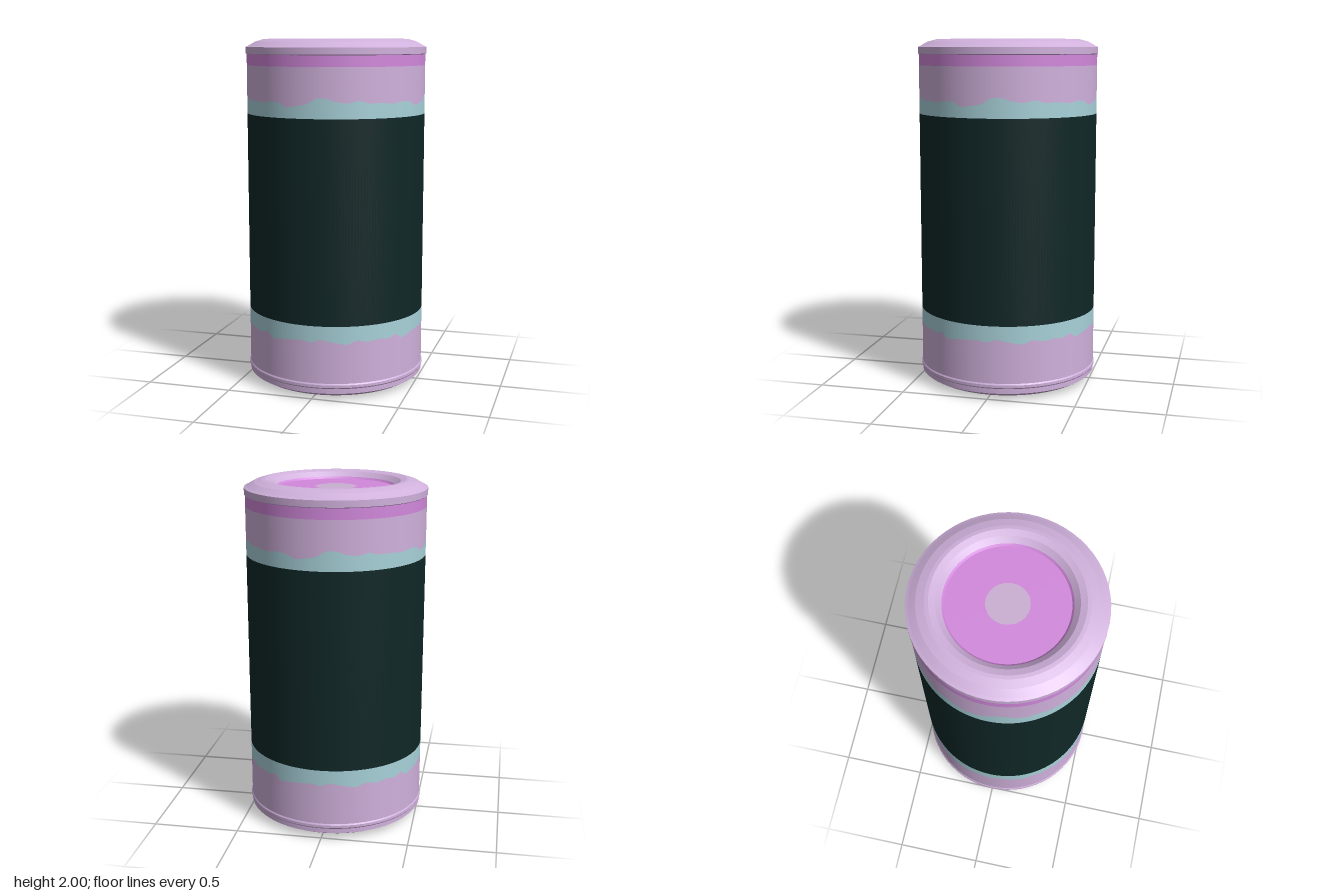
import * as THREE from 'three';
import { toCreasedNormals } from 'three/addons/utils/BufferGeometryUtils.js';

const SEGMENTS = 64;
const R = 0.515;

const material = (name, color) => new THREE.MeshStandardMaterial({ name, color });

// Wavy edge heights as [degrees, y]; the pattern repeats every quarter turn
const UPPER_WAVE = [[-45, 1.66], [-36, 1.655], [-28, 1.665], [-21, 1.66], [-15.6, 1.635], [-8, 1.645], [-2, 1.655],
  [4.5, 1.69], [11, 1.685], [15, 1.67], [23, 1.66], [30, 1.675], [36, 1.66], [45, 1.66]];
const LOWER_WAVE = [[-45, 0.345], [-40, 0.335], [-33, 0.355], [-28, 0.32], [-23, 0.33], [-13, 0.34], [-6, 0.345],
  [0, 0.335], [6, 0.355], [11, 0.345], [17, 0.335], [23, 0.325], [29, 0.35], [36, 0.335], [45, 0.345]];

function waveAt(keys, degrees) {
  const a = ((degrees + 45) % 90 + 90) % 90 - 45;
  const i = Math.max(1, keys.findIndex(k => k[0] >= a));
  const [a0, y0] = keys[i - 1], [a1, y1] = keys[i];
  return y0 + (y1 - y0) * (a - a0) / (a1 - a0);
}

// Open wall band between two edges, each a constant height or a wave
function wallBand(bottom, top) {
  const g = new THREE.CylinderGeometry(R, R, 1, 192, 1, true);
  const p = g.attributes.position;
  for (let i = 0; i < p.count; i++) {
    const edge = p.getY(i) > 0 ? top : bottom;
    const degrees = THREE.MathUtils.radToDeg(Math.atan2(p.getX(i), p.getZ(i)));
    p.setY(i, Array.isArray(edge) ? waveAt(edge, degrees) : edge);
  }
  return g;
}

// Turned part with sharp steps along its profile, smooth around
function turned(points) {
  return toCreasedNormals(new THREE.LatheGeometry(points.map(p => new THREE.Vector2(...p)), SEGMENTS), 0.15);
}

export function createModel() {
  const lilac = material('lilac', 0xd0b1dc);
  const magenta = material('magenta', 0xd288dc);
  const teal = material('darkTeal', 0x102727);
  const aqua = material('paleAqua', 0xa8d2da);
  const pale = material('paleMauve', 0xcbafd2);

  const model = new THREE.Group();
  model.name = 'can';
  const add = (name, geometry, mat, parent = model) => {
    const mesh = new THREE.Mesh(geometry, mat);
    mesh.name = name;
    parent.add(mesh);
    return mesh;
  };

  // Side wall, bottom to top
  add('lowerWall', wallBand(0.1, LOWER_WAVE), lilac);
  add('lowerAquaBand', wallBand(LOWER_WAVE, 0.43), aqua);
  add('middleWall', wallBand(0.43, 1.577), teal);
  add('upperAquaBand', wallBand(1.577, UPPER_WAVE), aqua);
  add('upperWall', wallBand(UPPER_WAVE, 1.853), lilac);
  add('upperStripe', wallBand(1.853, 1.916), magenta);

  // Raised collars at both ends
  add('topCollar', turned([[R, 1.914], [0.52, 1.918], [0.52, 1.955], [0.505, 1.962]]), lilac);
  add('bottomCollar', turned([[0.505, 0.045], [R, 0.047], [R, 0.07], [0.52, 0.077], [0.52, 0.092], [R, 0.1]]), lilac);

  // End caps: rounded rim, recess wall, disc and centre spot
  const rim = [[0.505, 1.962], [0.465, 1.985], [0.42, 1.998], [0.4, 2], [0.365, 1.99], [0.335, 1.963]];
  const recess = [[0.335, 1.963], [0.325, 1.952]];
  for (const end of ['top', 'bottom']) {
    const flip = end === 'bottom';
    const profile = pts => flip ? pts.map(([r, y]) => [r, 2.007 - y]).reverse() : pts;
    const cap = new THREE.Group();
    cap.name = end + 'Cap';
    model.add(cap);
    add(end + 'Rim', turned(profile(rim)), lilac, cap);
    add(end + 'RecessWall', turned(profile(recess)), magenta, cap);
    const discs = [['Disc', 0.326, 1.952, magenta], ['CentreSpot', 0.115, 1.955, pale]];
    for (const [name, radius, y, mat] of discs) {
      const disc = add(end + name, new THREE.CircleGeometry(radius, SEGMENTS), mat, cap);
      disc.rotation.x = flip ? Math.PI / 2 : -Math.PI / 2;
      disc.position.y = flip ? 2.007 - y : y;
    }
  }

  // Rest the lower rim exactly on the ground
  model.children.filter(c => c.name === 'bottomCap').forEach(c => { c.position.y = -0.007; });
  // Plain seam joining the bottom collar to the lowered rim
  add('bottomSeam', turned([[0.505, 0.038], [0.505, 0.045]]), lilac);
  return model;
}
